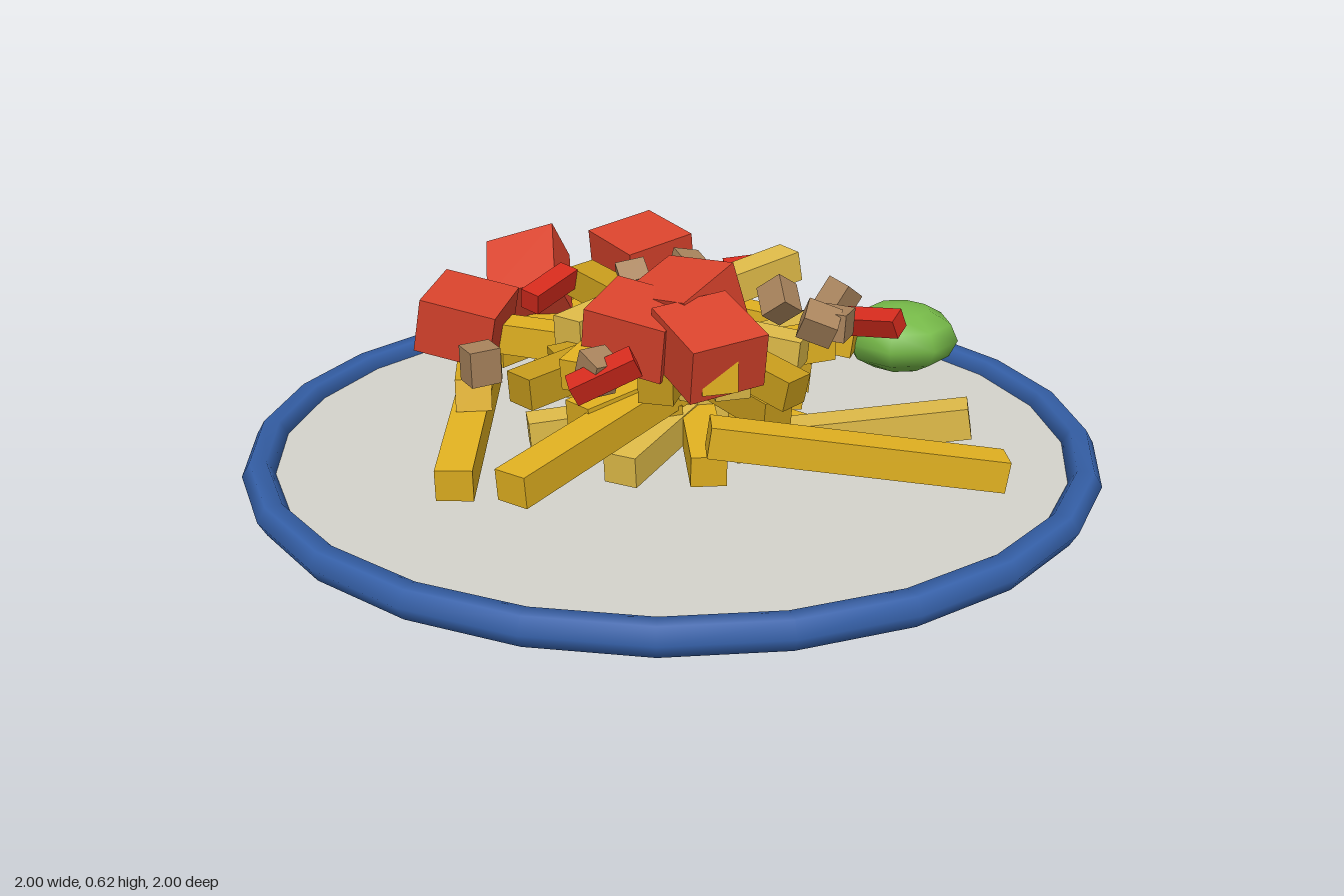
import * as THREE from 'three';

const paint = (color, flatShading = true) => new THREE.MeshStandardMaterial({ color, flatShading });

export function createModel() {
  const model = new THREE.Group();
  const group = (name) => {
    const g = new THREE.Group();
    g.name = name;
    model.add(g);
    return g;
  };
  const add = (parent, name, geometry, material, x, y, z) => {
    const m = new THREE.Mesh(geometry, material);
    m.name = name;
    m.position.set(x, y, z);
    parent.add(m);
    return m;
  };

  // Plate: tapered dish with a rolled rim
  add(model, 'plate', new THREE.CylinderGeometry(0.96, 0.67, 0.14, 24), paint(0xd4d3cc), 0, 0.07, 0);
  const rim = new THREE.TorusGeometry(0.9625, 0.0375, 6, 24).rotateX(Math.PI / 2);
  add(model, 'plateRim', rim, paint(0x3560a8, false), 0, 0.14, 0);

  // Fries: square sticks laid between two end points
  const fries = group('fries');
  const yellows = [paint(0xe0b020), paint(0xdfbb48), paint(0xc79c1c)];
  const stick = new THREE.BoxGeometry(1, 1, 1);
  const fry = (a, b, tone, w = 0.08) => {
    const from = new THREE.Vector3(...a), to = new THREE.Vector3(...b);
    const mid = from.clone().add(to).multiplyScalar(0.5);
    const m = add(fries, 'fry', stick, yellows[tone], mid.x, mid.y, mid.z);
    m.scale.set(w, w * 0.9, from.distanceTo(to));
    m.lookAt(to);
  };
  [
    [[0.14, 0.25, -0.8], [0.04, 0.22, -0.2], 0],
    [[-0.28, 0.22, -0.55], [-0.5, 0.34, 0], 0],
    [[-0.64, 0.24, 0.23], [-0.36, 0.3, -0.28], 0],
    [[-0.55, 0.25, 0.32], [0, 0.31, 0.06], 0],
    [[0.48, 0.2, 0.64], [-0.1, 0.29, 0.35], 0],
    [[0.48, 0.28, 0.51], [0.06, 0.19, 0.2], 1],
    [[0.59, 0.26, -0.1], [0.25, 0.32, -0.45], 0],
    [[0.49, 0.29, -0.53], [0.05, 0.3, -0.1], 1],
    [[0.33, 0.38, -0.56], [0.1, 0.38, 0], 0],
    [[0.26, 0.31, -0.6], [-0.32, 0.31, -0.34], 0],
    [[0.56, 0.28, -0.2], [0.1, 0.33, 0], 1],
    [[-0.13, 0.5, -0.23], [0.11, 0.36, 0.37], 2],
    [[0.33, 0.53, -0.01], [0, 0.47, 0], 1],
    [[0.35, 0.37, 0.13], [-0.05, 0.36, 0.08], 0],
    [[-0.44, 0.38, 0.12], [0.05, 0.42, 0], 2],
    [[-0.34, 0.42, 0.2], [-0.02, 0.47, -0.03], 0],
    [[-0.26, 0.44, -0.02], [0.12, 0.46, -0.18], 1],
    [[-0.36, 0.4, -0.22], [-0.05, 0.38, 0.08], 0],
    [[0.28, 0.42, -0.3], [0, 0.44, 0.05], 2],
    [[-0.1, 0.44, 0.4], [0, 0.42, -0.1], 0],
  ].forEach((f) => fry(...f));
  // Inner heap: crossed layers, each turned by the golden angle
  for (let i = 0; i < 20; i++) {
    const layer = Math.floor(i / 7), t = i * 2.4, r = 0.35 - layer * 0.02;
    const y = 0.2 + layer * 0.09;
    fry([r * Math.cos(t), y, r * Math.sin(t)],
      [-0.15 * Math.cos(t + 0.5), y + 0.04, -0.15 * Math.sin(t + 0.5)], i % 3);
  }

  // Toppings: x, y, z, then turns about x, y, z
  const scatter = (groupName, name, size, material, list) => {
    const g = group(groupName), geometry = new THREE.BoxGeometry(...size);
    list.forEach(([x, y, z, rx, ry, rz]) =>
      add(g, name, geometry, material, x, y, z).rotation.set(rx, ry, rz, 'YXZ'));
  };
  scatter('tomatoes', 'tomatoCube', [0.18, 0.13, 0.19], paint(0xd8432c), [
    [-0.14, 0.43, -0.51, 0.55, -0.4, 0.35],
    [-0.42, 0.44, -0.23, 0.1, -0.7, -0.2],
    [0.07, 0.51, -0.29, 0.1, 0.1, 0.15],
    [-0.17, 0.49, 0.16, 0.15, 0.7, 0.15],
    [-0.04, 0.52, 0.13, -0.1, 0.35, 0.3],
    [-0.08, 0.48, 0.31, 0.25, 0, 0.08],
  ]);
  scatter('peppers', 'pepperStrip', [0.15, 0.05, 0.05], paint(0xd32a1c), [
    [0.4, 0.43, -0.3, 0.3, -0.35, 0.1],
    [0.43, 0.42, 0.19, 0.4, -1.05, 0.15],
    [-0.31, 0.44, 0.27, 0.3, -0.25, 0.45],
    [-0.23, 0.5, -0.18, 0.2, 0.5, 0.2],
    [0.11, 0.47, -0.07, 0.2, 0, 0.05],
  ]);
  const bits = [[0.18, 0.46, -0.46], [0.16, 0.43, -0.35], [-0.03, 0.5, -0.14], [0.11, 0.51, -0.13],
    [-0.5, 0.43, 0.05], [-0.31, 0.44, 0.24], [0.42, 0.44, 0.06], [0.23, 0.48, 0.1],
    [0.25, 0.46, 0.24], [0.3, 0.45, 0.23]];
  scatter('meatBits', 'meatBit', [0.07, 0.065, 0.08], paint(0xa8835c),
    bits.map((p, i) => [...p, 0.4 + i * 0.3, i * 1.3, 0.5 - i * 0.4]));

  // Lime: squashed low-poly ball beside the heap
  const lime = new THREE.SphereGeometry(0.153, 8, 6);
  add(model, 'lime', lime, paint(0x76b948, false), 0.745, 0.243, -0.12).scale.y = 0.57;
  return model;
}
